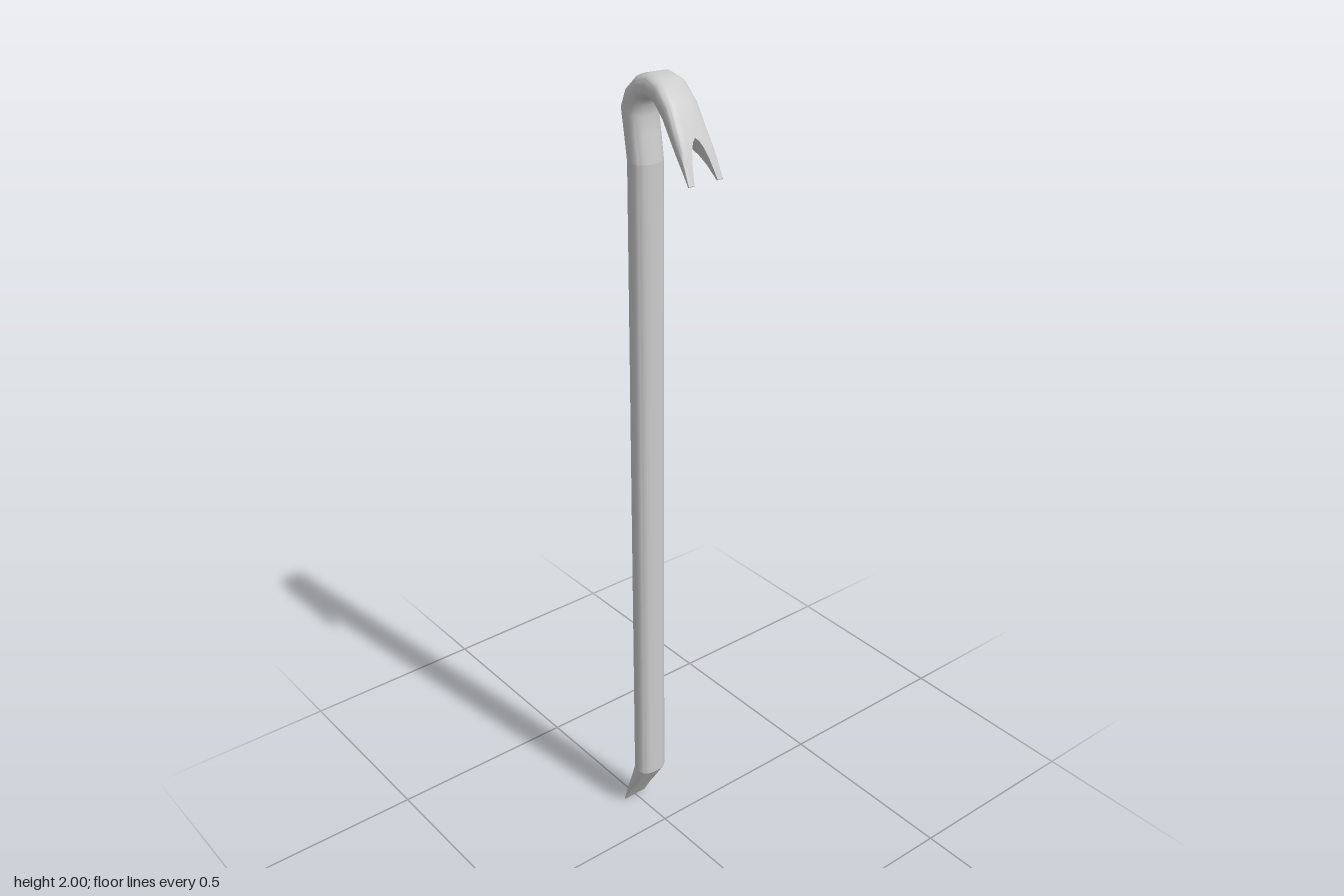
import * as THREE from 'three';
import { mergeGeometries, toCreasedNormals } from 'three/addons/utils/BufferGeometryUtils.js';

const N = 24; // points around a full cross-section
const spow = (v, e) => (Math.abs(v) < 1e-6 ? 0 : Math.sign(v) * Math.pow(Math.abs(v), e));

// Section: outer z,y, inner z,y, half width, roundness (1 = ellipse, small = box), slot half width
function ring([oz, oy, iz, iy, w, e, gap = 0], half, mirror) {
  const pts = [];
  const count = half ? N / 2 + 1 : N;
  for (let i = 0; i < count; i++) {
    const a = -Math.PI / 2 + (i / N) * Math.PI * 2;
    const t = (spow(Math.sin(a), e) + 1) / 2;
    let x = w * spow(Math.cos(a), e);
    if (half) x = gap + (x * (w - gap)) / w;
    pts.push([mirror ? -x : x, iy + (oy - iy) * t, iz + (oz - iz) * t]);
  }
  return pts;
}

// Skin a row of sections, optionally only one (mirrored) half, with optional end caps
function loft(sections, { half = false, mirror = false, capStart = false, capEnd = false } = {}) {
  const rings = sections.map((s) => ring(s, half, mirror));
  const n = rings[0].length;
  const pos = [];
  const tri = (a, b, c) => (mirror ? pos.push(...a, ...c, ...b) : pos.push(...a, ...b, ...c));
  for (let k = 0; k < rings.length - 1; k++) {
    for (let i = 0; i < n; i++) {
      const j = (i + 1) % n;
      tri(rings[k][i], rings[k][j], rings[k + 1][j]);
      tri(rings[k][i], rings[k + 1][j], rings[k + 1][i]);
    }
  }
  const first = rings[0], last = rings[rings.length - 1];
  for (let i = 1; i < n - 1; i++) {
    if (capStart) tri(first[0], first[i + 1], first[i]);
    if (capEnd) tri(last[0], last[i], last[i + 1]);
  }
  const g = new THREE.BufferGeometry();
  g.setAttribute('position', new THREE.Float32BufferAttribute(pos, 3));
  return g;
}

export function createModel() {
  const group = new THREE.Group();
  const material = new THREE.MeshStandardMaterial({ color: 0xcccccc });
  const add = (name, geometry) => {
    const mesh = new THREE.Mesh(toCreasedNormals(geometry, 0.6), material);
    mesh.name = name;
    group.add(mesh);
  };

  const low = [-0.096, 0.145, -0.034, 0.145, 0.04, 0.8];
  const high = [-0.098, 1.8, -0.034, 1.8, 0.04, 0.8];

  // Flattened prying end, bent to the back
  add('chiselEnd', loft([
    [-0.134, 0.0, -0.13, 0.0, 0.034, 0.25],
    [-0.121, 0.05, -0.099, 0.05, 0.036, 0.45],
    [-0.109, 0.095, -0.067, 0.095, 0.038, 0.65],
    low,
  ], { capStart: true }));

  // Straight bar
  add('shank', loft([low, high]));

  // Curved neck, from the bar over the top to the root of the slot
  const root = [0.098, 1.887, 0.073, 1.863, 0.043, 0.5];
  const neck = loft([
    high,
    [-0.108, 1.86, -0.043, 1.86, 0.04, 0.8],
    [-0.118, 1.915, -0.05, 1.9, 0.04, 0.8],
    [-0.1, 1.955, -0.047, 1.924, 0.04, 0.78],
    [-0.064, 1.987, -0.037, 1.938, 0.04, 0.74],
    [-0.02, 2.0, -0.018, 1.945, 0.04, 0.7],
    [0.022, 1.99, 0.003, 1.942, 0.041, 0.65],
    [0.06, 1.953, 0.034, 1.915, 0.042, 0.58],
    root,
  ]);

  // Two tapering tines either side of a rounded slot
  const tine = [
    root,
    [0.101, 1.88, 0.078, 1.858, 0.043, 0.48, 0.008],
    [0.108, 1.865, 0.09, 1.847, 0.044, 0.42, 0.016],
    [0.118, 1.842, 0.107, 1.83, 0.045, 0.36, 0.023],
    [0.135, 1.802, 0.132, 1.8, 0.046, 0.25, 0.031],
  ];
  const tines = [false, true].map((mirror) => loft(tine, { half: true, mirror, capEnd: true }));
  add('clawHook', mergeGeometries([neck, ...tines]));

  return group;
}
